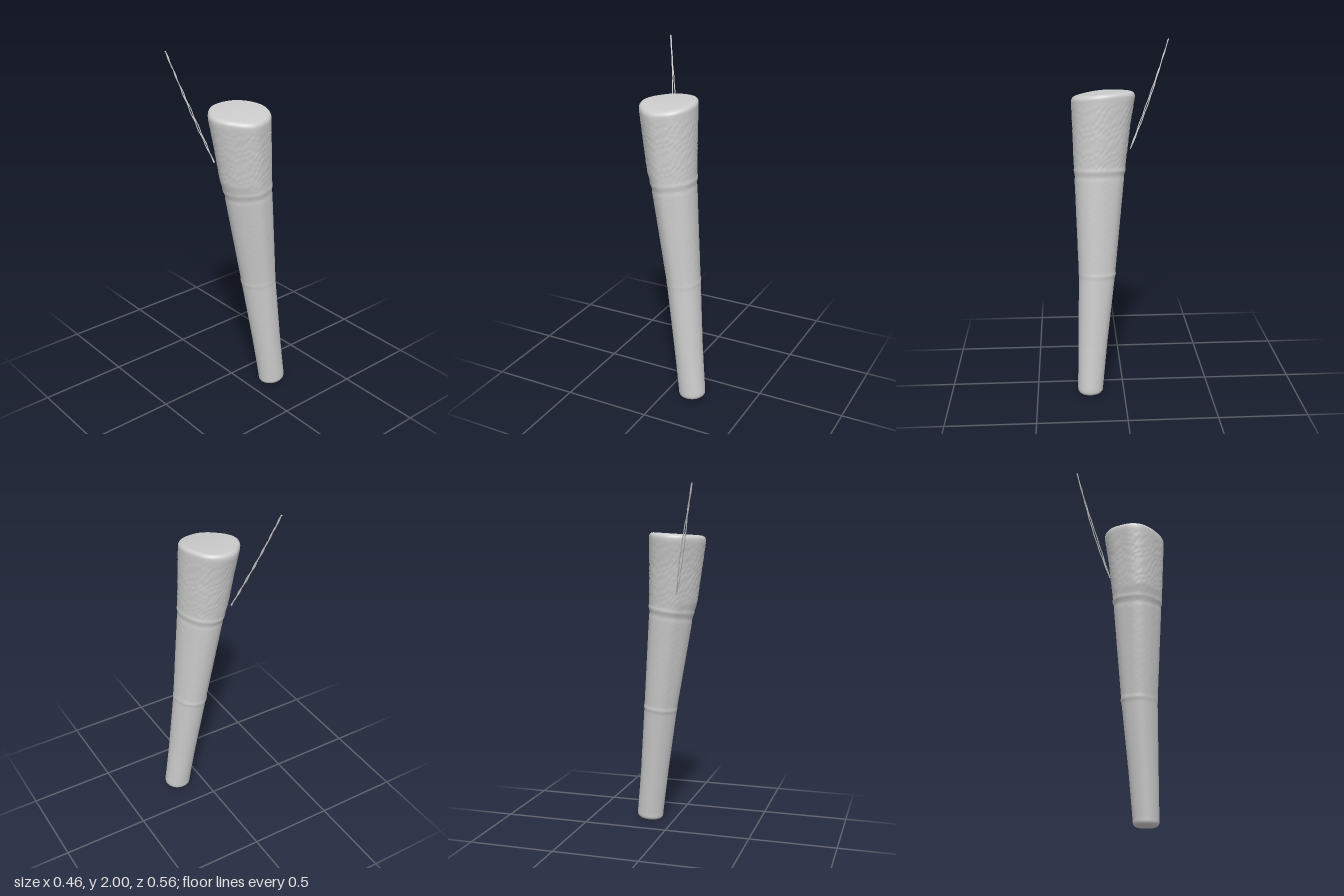
import * as THREE from 'three';

const lerp = THREE.MathUtils.lerp;
const smooth = THREE.MathUtils.smoothstep;
const SEG = 112;

// Outline of the wide end as x, z pairs
const OUTLINE = [
  [-0.045, -0.071], [0.005, -0.064], [0.06, -0.033], [0.1, 0.03], [0.12, 0.1], [0.116, 0.16],
  [0.092, 0.213], [0.052, 0.252], [0, 0.272], [-0.06, 0.278], [-0.11, 0.256], [-0.155, 0.212],
  [-0.191, 0.16], [-0.207, 0.1], [-0.193, 0.043], [-0.156, -0.009], [-0.105, -0.056],
];

// Extents of the shaft: y, x min, x max, z min, z max
const LEVELS = [
  [0, 0.076, 0.231, 0.124, 0.267],
  [0.05, 0.071, 0.229, 0.121, 0.267],
  [0.3, 0.036, 0.203, 0.095, 0.261],
  [0.7, -0.026, 0.171, 0.047, 0.252],
  [1.27, -0.130, 0.133, -0.010, 0.268],
  [1.34, -0.153, 0.131, -0.019, 0.271],
  [1.55, -0.185, 0.126, -0.045, 0.276],
  [1.69, -0.206, 0.123, -0.070, 0.280],
  [1.75, -0.208, 0.122, -0.072, 0.280],
];

function extentsAt(y) {
  let i = 0;
  while (i < LEVELS.length - 2 && y > LEVELS[i + 1][0]) i++;
  const a = LEVELS[i], b = LEVELS[i + 1];
  const t = THREE.MathUtils.clamp((y - a[0]) / (b[0] - a[0]), 0, 1);
  return a.map((v, k) => lerp(v, b[k], t));
}

// Hammered grain, strongest on the grip
function grain(a, y) {
  const amount = lerp(0.0003, 0.0011, smooth(y, 1.28, 1.4)) * smooth(y, 0.4, 0.9) * (1 - smooth(y, 1.64, 1.69));
  return amount * (Math.sin(a * 19 + 2 * Math.sin(y * 41)) * Math.sin(y * 150 + 2 * Math.sin(a * 7))
    + 0.6 * Math.sin(a * 27 - y * 60) * Math.sin(y * 190 + a * 5));
}

const ridge = (y, at, width) => Math.exp(-(((y - at) / width) ** 2));

function shaftGeometry() {
  const curve = new THREE.CatmullRomCurve3(
    OUTLINE.map(([x, z]) => new THREE.Vector3((x + 0.043) / 0.164, 0, (z - 0.104) / 0.174)), true);
  const outline = curve.getSpacedPoints(SEG).slice(0, SEG);

  // Rings as [height, inset]: bottom rounding, long wall, top rounding
  const rings = [];
  const R = 0.024, TOP = 1.728, N = 190;
  rings.push([0.008, 0.05]);
  for (let i = 0; i <= 6; i++) {
    const t = i / 6 * Math.PI / 2;
    rings.push([0.008 + R * (1 - Math.cos(t)), R * (1 - Math.sin(t))]);
  }
  for (let i = 1; i < N; i++) rings.push([lerp(0.008 + R, TOP - R, i / N), 0]);
  for (let i = 0; i <= 6; i++) {
    const t = i / 6 * Math.PI / 2;
    rings.push([TOP - R + R * Math.sin(t), R * (1 - Math.cos(t))]);
  }
  rings.push([TOP, 0.06], [TOP, 0.1]);

  // Lay out a point, bending the top down to the front and tilting the bottom
  const pos = [], index = [];
  const addPoint = (x, y, z) => {
    const up = smooth(y, 1.5, 1.7), low = 1 - smooth(y, 0.02, 0.15), dz = z - 0.104;
    pos.push(x, y + up * (0.055 * (x + 0.04) - 0.08 * dz - 0.35 * dz * dz) + low * 0.08 * (x - 0.15), z);
  };
  for (const [y, inset] of rings) {
    const [, x0, x1, z0, z1] = extentsAt(y);
    const rx = (x1 - x0) / 2, rz = (z1 - z0) / 2;
    const round = 0.75 * (1 - smooth(y, 0, 1.2));
    for (const p of outline) {
      const a = Math.atan2(p.z, p.x), c = Math.cos(a), s = Math.sin(a);
      // Two raised bands, clearer at the back, and a shallow groove beneath the upper one
      const swell = (0.0035 - 0.001 * s) * ridge(y, 1.295 + 0.02 * c, 0.011)
        - 0.002 * ridge(y, 1.262 + 0.02 * c, 0.012)
        + (0.0025 - 0.0015 * s) * ridge(y, 0.708 + 0.012 * c, 0.01) + grain(a, y) - inset;
      addPoint((x0 + x1) / 2 + lerp(p.x, c, round) * rx + c * swell, y,
        (z0 + z1) / 2 + lerp(p.z, s, round) * rz + s * swell);
    }
  }
  for (let r = 0; r < rings.length - 1; r++) {
    for (let i = 0; i < SEG; i++) {
      const a = r * SEG + i, b = r * SEG + (i + 1) % SEG;
      index.push(a, a + SEG, b, b, a + SEG, b + SEG);
    }
  }
  // Close both ends
  const last = (rings.length - 1) * SEG, bottom = pos.length / 3;
  addPoint(0.153, 0.008, 0.196);
  addPoint(-0.043, TOP, 0.104);
  for (let i = 0; i < SEG; i++) {
    const j = (i + 1) % SEG;
    index.push(bottom, i, j, bottom + 1, last + j, last + i);
  }
  const g = new THREE.BufferGeometry();
  g.setAttribute('position', new THREE.Float32BufferAttribute(pos, 3));
  g.setIndex(index);
  g.computeVertexNormals();
  return g;
}

export function createModel() {
  const group = new THREE.Group();
  const material = new THREE.MeshStandardMaterial({ color: 0xcccccc });

  const shaft = new THREE.Mesh(shaftGeometry(), material);
  shaft.name = 'taperedShaft';
  group.add(shaft);

  // Loop of thin cord: two strands that part in the middle and join towards the tip
  const cord = new THREE.Group();
  cord.name = 'cordLoop';
  for (const side of [-1, 1]) {
    const points = [];
    for (let i = 0; i <= 24; i++) {
      const t = i / 24;
      const gap = side * (0.0015 + 0.007 * Math.sin(Math.PI * Math.min(1, t / 0.75)));
      const wobble = 0.0015 * Math.sin(t * 40 + side);
      points.push(new THREE.Vector3(
        lerp(-0.082, -0.227, t) + gap * 0.8 + wobble,
        lerp(1.4, 1.997, t),
        lerp(-0.052, -0.276, t) - gap * 0.4 - 0.008 * Math.sin(Math.PI * t) + wobble));
    }
    const strand = new THREE.Mesh(
      new THREE.TubeGeometry(new THREE.CatmullRomCurve3(points), 96, 0.003, 6), material);
    strand.name = side < 0 ? 'rightStrand' : 'leftStrand';
    cord.add(strand);
  }
  // Small knots at both ends of the loop
  for (const [x, y, z] of [[-0.082, 1.4, -0.052], [-0.227, 1.996, -0.276]]) {
    const knot = new THREE.Mesh(new THREE.SphereGeometry(0.004, 10, 8), material);
    knot.name = 'cordKnot';
    knot.position.set(x, y, z);
    cord.add(knot);
  }
  group.add(cord);
  return group;
}
